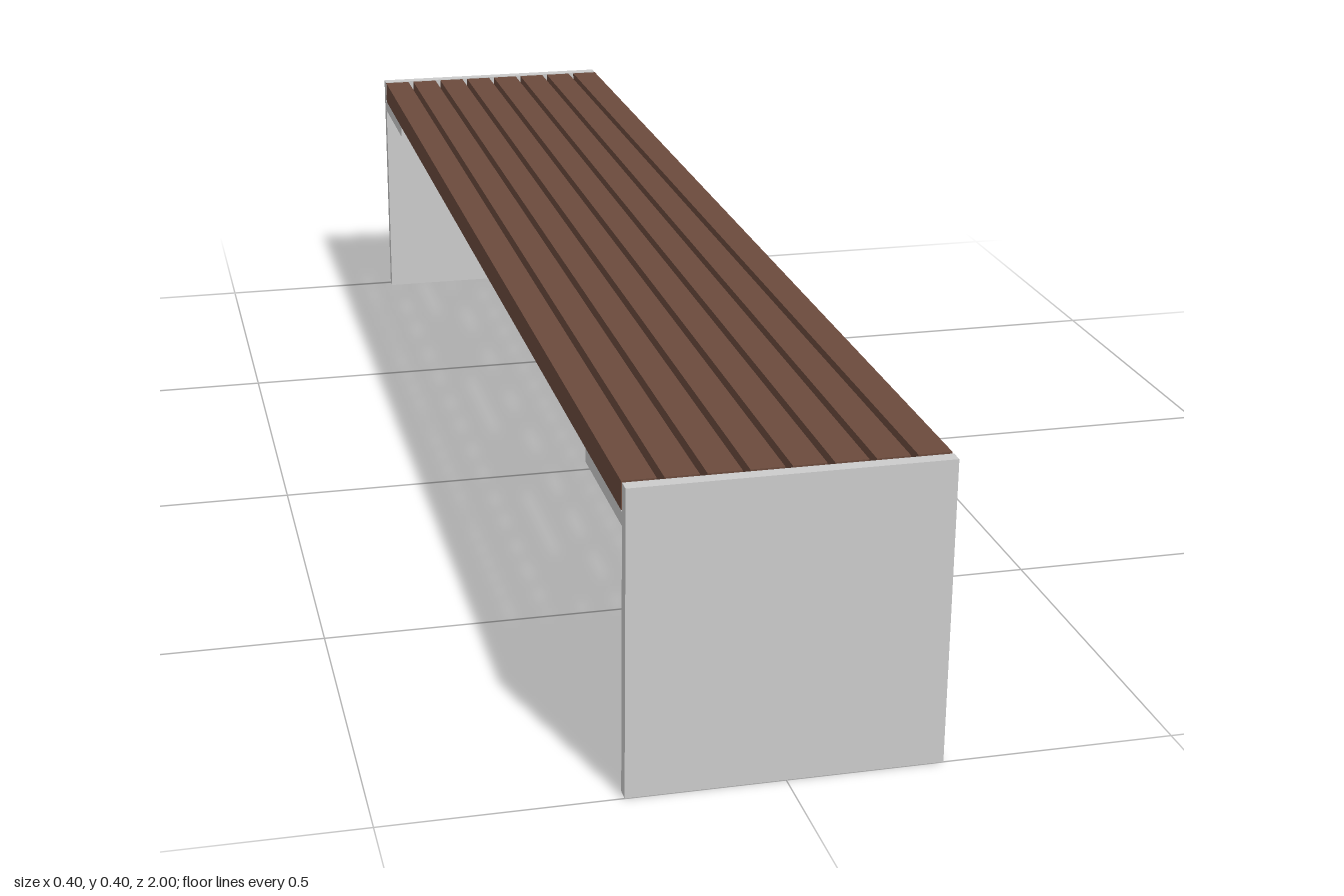
import * as THREE from 'three';

export function createModel() {
  const bench = new THREE.Group();
  bench.name = 'bench';
  const metal = new THREE.MeshStandardMaterial({ color: 0xcccccc });
  const wood = new THREE.MeshStandardMaterial({ color: 0x6b4a3c });

  const WIDTH = 0.4, HEIGHT = 0.4;
  const PLATE = 0.018; // sheet thickness
  const SLATS = 8, SLAT_W = 0.042, SLAT_H = 0.036, SLAT_L = 1.954;

  function box(name, size, pos, material) {
    const mesh = new THREE.Mesh(new THREE.BoxGeometry(...size), material);
    mesh.name = name;
    mesh.position.set(...pos);
    return mesh;
  }

  // Seat: parallel slats with narrow open gaps
  const seat = new THREE.Group();
  seat.name = 'seat';
  const pitch = (WIDTH - SLAT_W) / (SLATS - 1);
  for (let i = 0; i < SLATS; i++) {
    const x = (i - (SLATS - 1) / 2) * pitch;
    seat.add(box('slat', [SLAT_W, SLAT_H, SLAT_L], [x, HEIGHT - SLAT_H / 2, 0], wood));
  }
  bench.add(seat);

  // End supports: upright plate with a shelf under the slats
  const shelfInner = 0.785;
  const shelfDepth = 1 - PLATE - shelfInner;
  for (const [name, s] of [['frontSupport', 1], ['backSupport', -1]]) {
    const support = new THREE.Group();
    support.name = name;
    support.add(
      box('endPlate', [WIDTH, HEIGHT, PLATE], [0, HEIGHT / 2, s * (1 - PLATE / 2)], metal),
      box('seatShelf', [WIDTH, PLATE, shelfDepth],
        [0, HEIGHT - SLAT_H - PLATE / 2, s * (shelfInner + shelfDepth / 2)], metal)
    );
    bench.add(support);
  }
  return bench;
}
